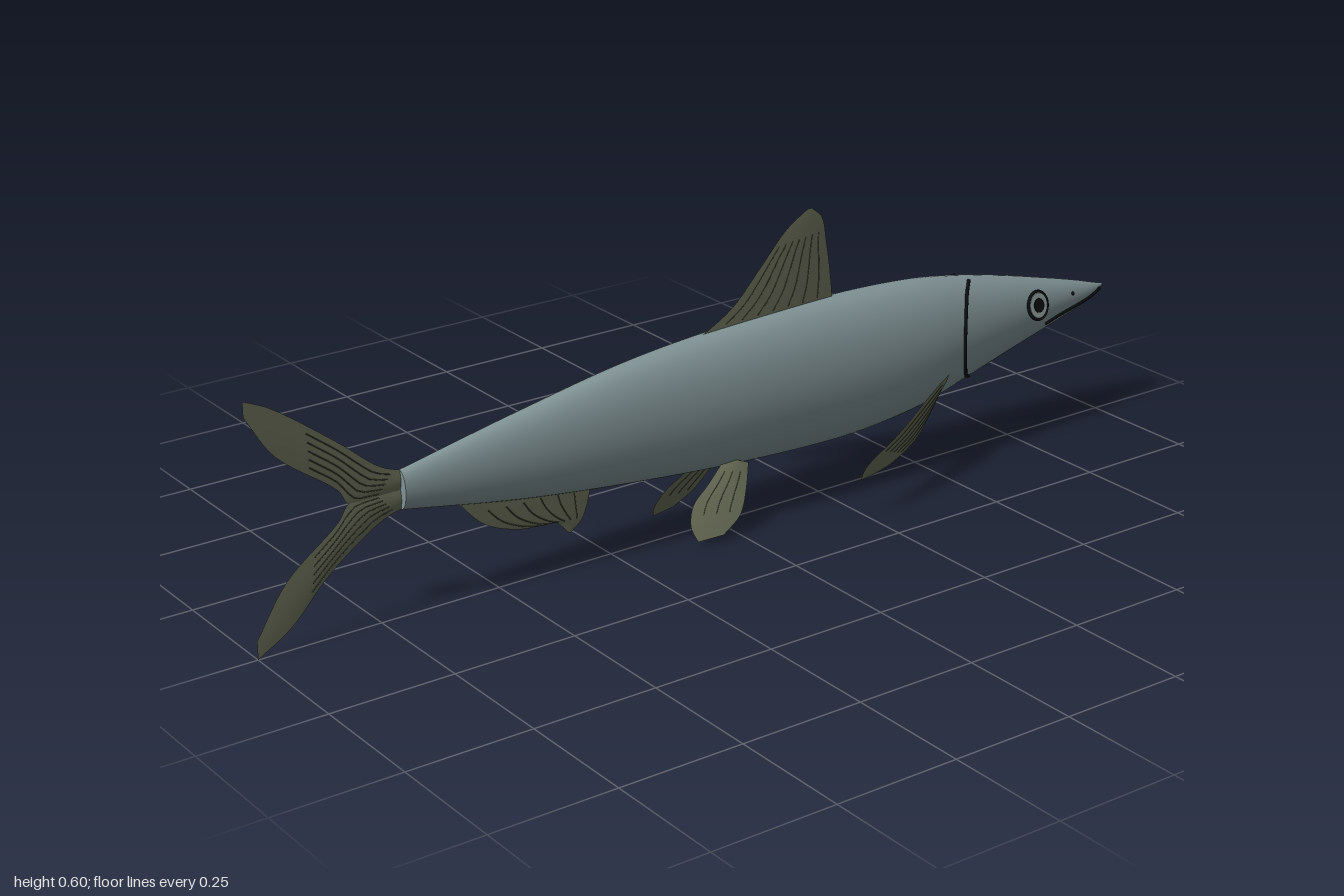
import * as THREE from 'three';

const mat = (name, color, side = THREE.FrontSide) => {
  const m = new THREE.MeshStandardMaterial({ color, side });
  m.name = name;
  return m;
};

// Body stations: x, underside y, back y, half width
const STATIONS = [
  [-0.7, 0.212, 0.288, 0.019], [-0.45, 0.168, 0.338, 0.04], [-0.2, 0.138, 0.381, 0.058],
  [0.05, 0.118, 0.402, 0.072], [0.3, 0.111, 0.408, 0.078], [0.48, 0.128, 0.4, 0.076],
  [0.6, 0.16, 0.383, 0.068], [0.72, 0.194, 0.358, 0.057], [0.84, 0.226, 0.328, 0.041],
  [0.93, 0.249, 0.304, 0.025], [0.98, 0.265, 0.289, 0.011], [1, 0.279, 0.284, 0.002],
];

// Smooth interpolation of the stations: centre y, half height, half width
function section(x) {
  const S = STATIONS, n = S.length;
  let i = 0;
  while (i < n - 2 && x > S[i + 1][0]) i++;
  const d = S[i + 1][0] - S[i][0], t = (x - S[i][0]) / d;
  const slope = (k, c) => {
    const a = S[Math.max(k - 1, 0)], b = S[Math.min(k + 1, n - 1)];
    return (b[c] - a[c]) / (b[0] - a[0]);
  };
  const [lo, hi, w] = [1, 2, 3].map((c) => {
    const t2 = t * t, t3 = t2 * t;
    return (2 * t3 - 3 * t2 + 1) * S[i][c] + (t3 - 2 * t2 + t) * d * slope(i, c)
      + (3 * t2 - 2 * t3) * S[i + 1][c] + (t3 - t2) * d * slope(i + 1, c);
  });
  return { c: (lo + hi) / 2, h: (hi - lo) / 2, w };
}

// Point on the flank at a given x and y
function onSkin(x, y, side) {
  const { c, h, w } = section(x);
  const k = Math.min(1, Math.abs((y - c) / h));
  return new THREE.Vector3(x, y, side * w * Math.sqrt(1 - k * k));
}

function gridGeometry(rows, cols, point) {
  const pos = [], idx = [];
  for (let i = 0; i <= rows; i++)
    for (let j = 0; j <= cols; j++) pos.push(...point(i / rows, j / cols).toArray());
  for (let i = 0; i < rows; i++)
    for (let j = 0; j < cols; j++) {
      const a = i * (cols + 1) + j, b = a + cols + 1;
      idx.push(a, a + 1, b, a + 1, b + 1, b);
    }
  const g = new THREE.BufferGeometry();
  g.setAttribute('position', new THREE.Float32BufferAttribute(pos, 3));
  g.setIndex(idx);
  g.computeVertexNormals();
  return g;
}

const curve = (pts) => new THREE.CatmullRomCurve3(pts.map(([x, y, z = 0]) => new THREE.Vector3(x, y, z)), false, 'centripetal');

export function createModel() {
  const model = new THREE.Group();
  model.name = 'fish';
  const skin = mat('blueGreySkin', 0x809295);
  const finMat = mat('oliveFin', 0x686d56, THREE.DoubleSide);
  const rayMat = mat('darkFinRay', 0x454a3a);
  const black = mat('black', 0x0c0e0f);
  const irisMat = mat('paleIris', 0x94a19f);

  const add = (parent, name, geo, material) => {
    const m = new THREE.Mesh(geo, material);
    m.name = name;
    parent.add(m);
    return m;
  };

  // Body: elliptical sections swept from the tail root to the snout
  const body = gridGeometry(80, 40, (u, v) => {
    const x = -0.7 + 1.7 * u, a = v * Math.PI * 2, s = section(x);
    return new THREE.Vector3(x, s.c + s.h * Math.cos(a), s.w * Math.sin(a));
  });
  add(model, 'body', body, skin);
  const root = section(-0.7);
  const cap = add(model, 'tailRootCap', new THREE.CircleGeometry(1, 32), skin);
  cap.rotation.y = -Math.PI / 2;
  cap.scale.set(root.w, root.h, 1);
  cap.position.set(-0.7, root.c, 0);

  // Fin: thin lens between two edges that run from base to tip, with fine rays
  function fin(name, edgeA, edgeB, rays = 5) {
    const g = new THREE.Group();
    g.name = name;
    const A = curve(edgeA), B = curve(edgeB);
    const at = (u, v, s) => {
      const a = A.getPoint(u), b = B.getPoint(u);
      const n = b.clone().sub(a).cross(A.getTangent(u)).normalize();
      return a.lerp(b, v).addScaledVector(n, s * 0.003 * Math.sin(Math.PI * v) * (1 - u * u));
    };
    for (const s of [1, -1]) {
      add(g, 'membrane', gridGeometry(24, 10, (u, v) => at(u, s > 0 ? v : 1 - v, s)), finMat);
      for (let r = 1; r <= rays; r++) {
        const pts = [0.12, 0.25, 0.38, 0.5, 0.62].map((u) => at(u, r / (rays + 1), s));
        add(g, 'ray', new THREE.TubeGeometry(new THREE.CatmullRomCurve3(pts), 10, 0.0011, 4), rayMat);
      }
    }
    model.add(g);
  }

  fin('dorsalFin',
    [[0.28, 0.38], [0.273, 0.45], [0.262, 0.52], [0.25, 0.575], [0.225, 0.598]],
    [[-0.065, 0.38], [0.035, 0.435], [0.1, 0.5], [0.165, 0.567], [0.215, 0.598]], 7);
  fin('analFin',
    [[-0.29, 0.17], [-0.3, 0.125], [-0.315, 0.09], [-0.34, 0.07]],
    [[-0.585, 0.195], [-0.525, 0.135], [-0.445, 0.105], [-0.375, 0.1], [-0.345, 0.072]], 6);
  fin('tailFinUpperLobe',
    [[-0.69, 0.285], [-0.74, 0.305], [-0.82, 0.37], [-0.95, 0.466], [-1, 0.49]],
    [[-0.69, 0.25], [-0.805, 0.25], [-0.825, 0.28], [-0.945, 0.375], [-1, 0.46]]);
  fin('tailFinLowerLobe',
    [[-0.69, 0.215], [-0.74, 0.2], [-0.85, 0.125], [-0.93, 0.045], [-1, 0.002]],
    [[-0.69, 0.25], [-0.805, 0.25], [-0.828, 0.22], [-0.935, 0.135], [-1, 0.038]]);

  for (const side of [1, -1]) {
    const label = side > 0 ? 'right' : 'left';
    const flip = (pts) => pts.map(([x, y, z]) => [x, y, z * side]);

    // Paired fins
    fin(label + 'PectoralFin',
      flip([[0.53, 0.21, 0.066], [0.46, 0.2, 0.1], [0.33, 0.152, 0.146], [0.24, 0.115, 0.164], [0.226, 0.1, 0.165]]),
      flip([[0.51, 0.165, 0.052], [0.475, 0.125, 0.066], [0.425, 0.1, 0.088], [0.33, 0.083, 0.125], [0.23, 0.085, 0.158]]));
    const pelvic = (pts) => pts.map(([x, y]) => [x, y, side * (0.0985 + 0.17 * x - 0.5 * y)]);
    fin(label + 'PelvicFin',
      pelvic([[0.045, 0.13], [0.025, 0.085], [0, 0.045], [-0.045, 0.016]]),
      pelvic([[0, 0.145], [-0.05, 0.105], [-0.09, 0.075], [-0.106, 0.04], [-0.1, 0.013]]), 3);

    // Gill slit and mouth line laid along the skin
    const line = (name, pts, r) => {
      const c = new THREE.CatmullRomCurve3(pts.map(([x, y]) => onSkin(x, y, side)));
      add(model, name, new THREE.TubeGeometry(c, 48, r, 6), black);
    };
    line(label + 'GillSlit', [[0.612, 0.376], [0.588, 0.36], [0.572, 0.33], [0.563, 0.28],
      [0.57, 0.225], [0.588, 0.188], [0.615, 0.172]], 0.0042);
    line(label + 'MouthLine', [[0.805, 0.246], [0.85, 0.256], [0.9, 0.263], [0.95, 0.27], [0.985, 0.278]], 0.004);

    // Eye and nostril set square to the skin
    const onHead = (name, x, y) => {
      const g = new THREE.Group(), p = onSkin(x, y, side), e = 0.004;
      const dx = onSkin(x + e, y, side).sub(p), dy = onSkin(x, y + e, side).sub(p);
      g.name = name;
      g.position.copy(p);
      const n = dx.cross(dy).multiplyScalar(side).normalize();
      g.quaternion.setFromUnitVectors(new THREE.Vector3(0, 0, 1), n.z * side > 0 ? n : n.negate());
      model.add(g);
      return g;
    };
    const eye = onHead(label + 'Eye', 0.775, 0.296);
    const disc = (name, r, depth, m) => {
      const d = add(eye, name, new THREE.CylinderGeometry(r * 0.92, r, depth, 28), m);
      d.rotation.x = Math.PI / 2;
    };
    disc('iris', 0.028, 0.009, irisMat);
    disc('pupil', 0.016, 0.013, black);
    add(eye, 'eyeRim', new THREE.TorusGeometry(0.029, 0.0032, 8, 32), black).position.z = 0.002;
    add(onHead(label + 'Nostril', 0.89, 0.292), 'nostrilSpot', new THREE.SphereGeometry(0.004, 10, 8), black);
  }
  return model;
}
